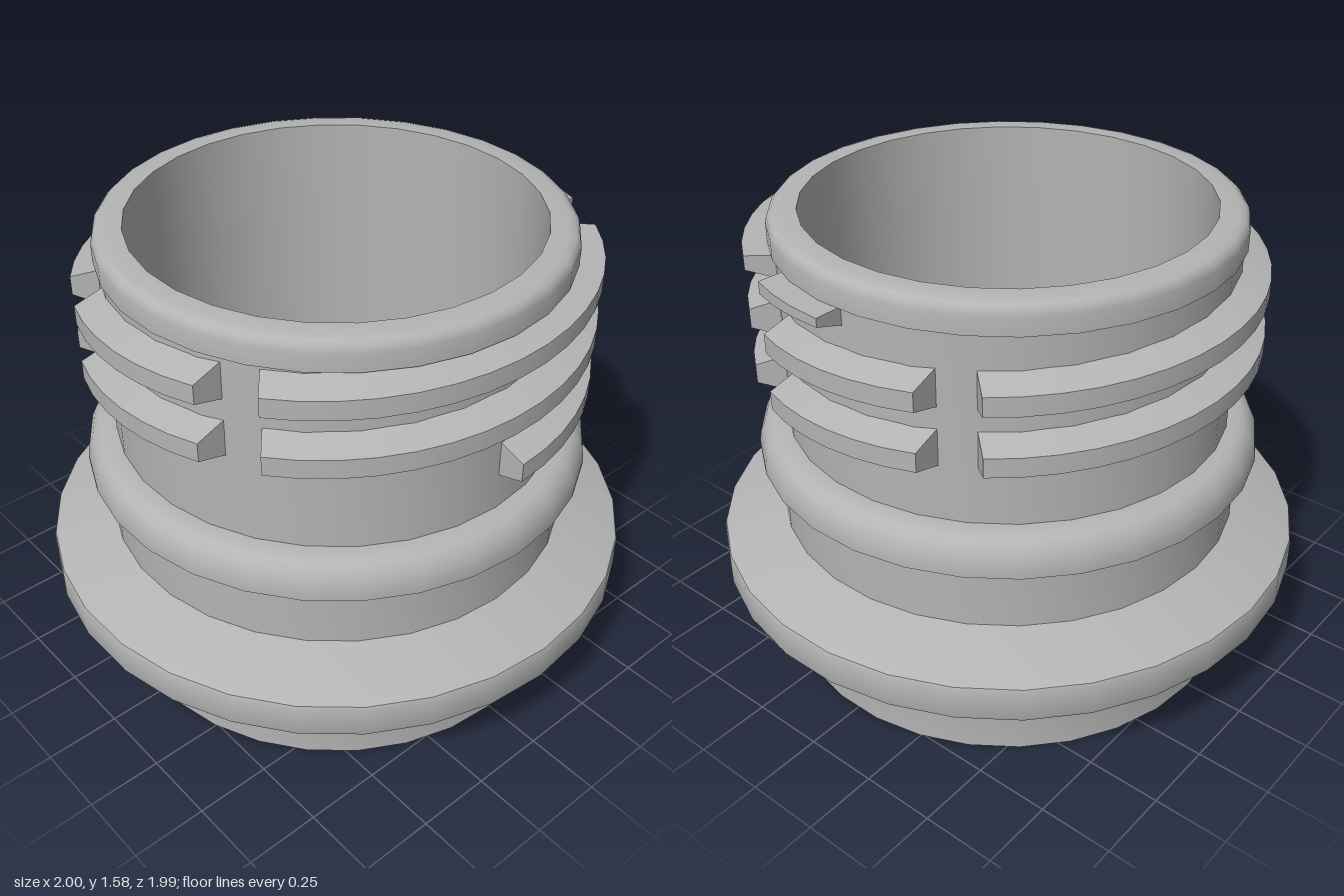
import * as THREE from 'three';
import { toCreasedNormals } from 'three/addons/utils/BufferGeometryUtils.js';

const RAD = Math.PI / 180;
const SIDES = 30;
const ROOT = 0.735, CREST = 0.835;         // thread radii
const START = 90, END = 900;               // thread sweep in degrees, 0 = front, 90 = +x
const PITCH = 0.197, START_Y = 1.04, MAX_Y = 1.48;

// Thread ridge from angles a (root, crest) to b (root, crest)
function ridgeGeometry(a, b) {
  const profile = [[0, -0.064], [1, -0.032], [1, 0.032], [0, 0.064]];
  const steps = Math.max(2, Math.ceil((b[0] - a[0]) / 8));
  const positions = [], index = [];
  for (let i = 0; i <= steps; i++) {
    for (const [k, dy] of profile) {
      const deg = a[k] + (b[k] - a[k]) * i / steps;
      const r = k ? CREST : ROOT;
      const y = Math.min(MAX_Y, START_Y + PITCH * (deg - START) / 360 + dy);
      positions.push(r * Math.sin(deg * RAD), y, r * Math.cos(deg * RAD));
    }
  }
  for (let i = 0; i < steps; i++) {
    for (let j = 0; j < 3; j++) {
      const p = i * 4 + j, q = p + 4;
      index.push(p, q, q + 1, p, q + 1, p + 1);
    }
  }
  const e = steps * 4;
  index.push(0, 1, 2, 0, 2, 3, e, e + 2, e + 1, e, e + 3, e + 2);
  const g = new THREE.BufferGeometry();
  g.setAttribute('position', new THREE.Float32BufferAttribute(positions, 3));
  g.setIndex(index);
  return toCreasedNormals(g, 25 * RAD);
}

export function createModel() {
  const model = new THREE.Group();
  model.name = 'threadedBottleNeck';
  const plastic = new THREE.MeshStandardMaterial({ color: 0xb4b4b4 });
  plastic.name = 'grey plastic';

  function add(name, geometry, parent = model) {
    const mesh = new THREE.Mesh(geometry, plastic);
    mesh.name = name;
    parent.add(mesh);
  }
  function turned(name, profile) {
    const points = profile.map(([r, y]) => new THREE.Vector2(r, y));
    const lathe = new THREE.LatheGeometry(points, SIDES, 6 * RAD);
    add(name, toCreasedNormals(lathe, 32 * RAD));
  }

  // Turned body sections, stacked from the bottom up
  turned('lowerSleeve', [[0.797, 0], [0.797, 0.265], [0.803, 0.287], [0.82, 0.303], [0.85, 0.31]]);
  turned('supportFlange', [
    [0.85, 0.31], [0.985, 0.31], [0.996, 0.314], [1, 0.325],
    [1, 0.425], [0.996, 0.435], [0.98, 0.442], [0.785, 0.5],
  ]);
  turned('collar', [[0.785, 0.5], [0.785, 0.73]]);
  turned('tamperRing', [
    [0.785, 0.73], [0.848, 0.73], [0.848, 0.755], [0.842, 0.79],
    [0.828, 0.82], [0.808, 0.842], [0.785, 0.852], [0.745, 0.853],
  ]);
  turned('neck', [[0.745, 0.853], [0.745, 1.48]]);
  turned('rim', [
    [0.745, 1.48], [0.757, 1.48], [0.757, 1.54], [0.752, 1.558],
    [0.74, 1.571], [0.72, 1.577], [0.66, 1.577],
  ]);
  turned('bore', [[0.66, 1.577], [0.66, 0]]);
  turned('bottomEdge', [[0.66, 0], [0.797, 0]]);

  // Screw thread, interrupted by four vertical vent gaps
  const thread = new THREE.Group();
  thread.name = 'screwThread';
  model.add(thread);
  for (let k = 0; k < 5; k++) {
    const side = 90 + 180 * k, face = side + 90;
    const long0 = k === 0 ? [START, START] : [side - 57.5, side - 55.5];
    add('sideThread', ridgeGeometry(long0, [side + 57.5, side + 55.5]), thread);
    const short1 = face === END ? [END, END] : [face + 23.7, face + 21.2];
    add('faceThread', ridgeGeometry([face - 23.7, face - 21.2], short1), thread);
  }
  return model;
}
